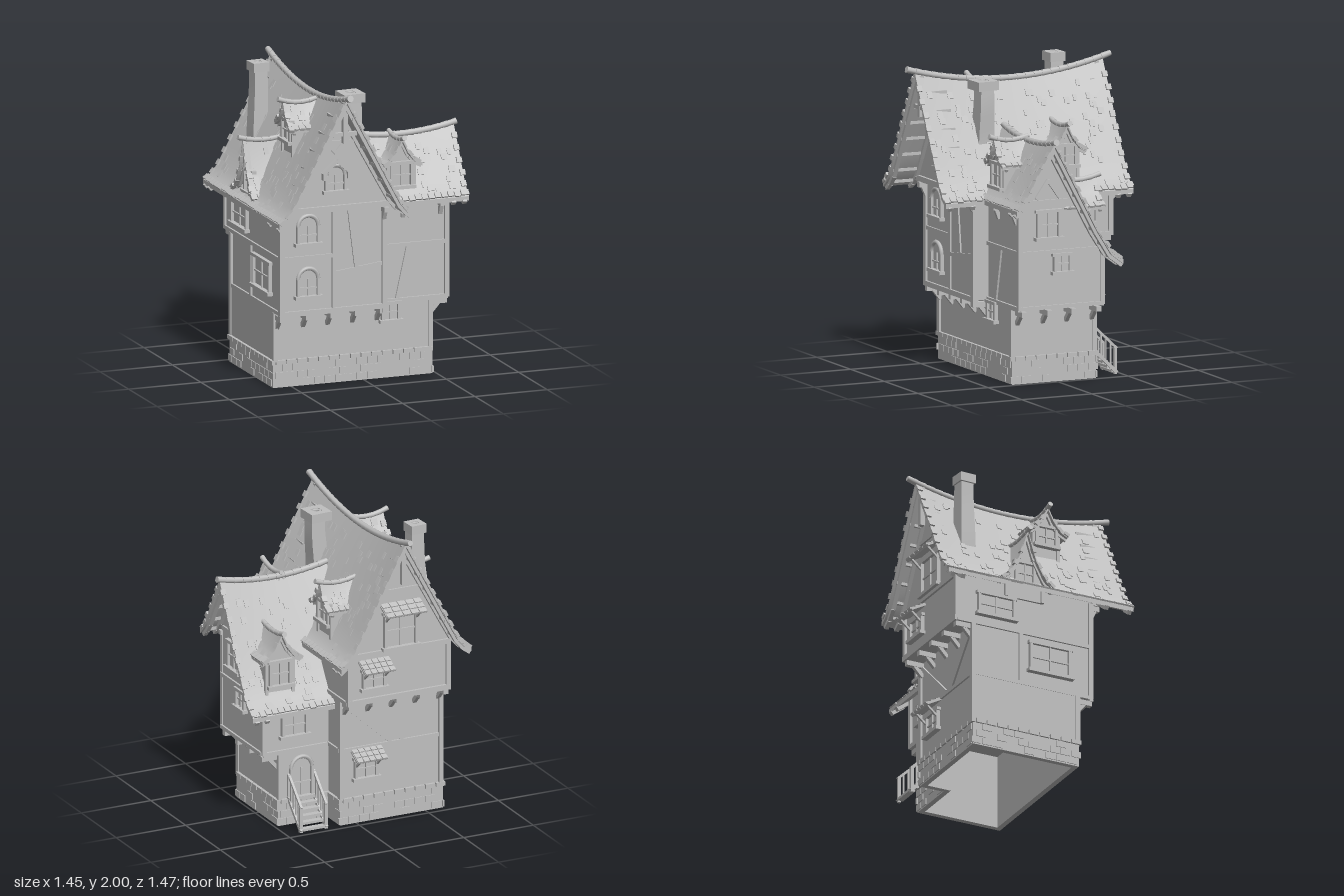
import * as THREE from 'three';
import { mergeGeometries, toCreasedNormals } from 'three/addons/utils/BufferGeometryUtils.js';

const grey = new THREE.MeshStandardMaterial({ color: 0xc0c0c0 });
grey.name = 'plain grey';
const V = (x, y, z) => new THREE.Vector3(x, y, z);
let seed = 7;
const rnd = () => (seed = (seed * 16807) % 2147483647) / 2147483647;

function put(parent, name, geo) {
  const m = new THREE.Mesh(Array.isArray(geo) ? mergeGeometries(geo) : geo, grey);
  m.name = name;
  parent.add(m);
  return m;
}
function box(w, h, d, x, y, z, rx = 0, ry = 0, rz = 0) {
  return new THREE.BoxGeometry(w, h, d).rotateX(rx).rotateY(ry).rotateZ(rz).translate(x, y, z);
}
// box given by its limits
const span = (x0, x1, y0, y1, z0, z1) => box(x1 - x0, y1 - y0, z1 - z0, (x0 + x1) / 2, (y0 + y1) / 2, (z0 + z1) / 2);
// square timber from a to b
function beam(a, b, t = 0.025) {
  const up = Math.abs(a.y - b.y) > 0.9 * a.distanceTo(b) ? V(0, 0, 1) : V(0, 1, 0);
  const g = new THREE.BoxGeometry(t, t, a.distanceTo(b)).applyMatrix4(new THREE.Matrix4().lookAt(a, b, up));
  return g.translate((a.x + b.x) / 2, (a.y + b.y) / 2, (a.z + b.z) / 2);
}

// Roof height at distance d from the ridge (signed) and z along it
function height(s, d, z) {
  const p = d >= 0 ? s.r : s.l, a = Math.abs(d), W = p[p.length - 1][0];
  let i = 1;
  while (i < p.length - 1 && p[i][0] < a) i++;
  const [d0, y0] = p[i - 1], [d1, y1] = p[i];
  const t = (2 * z - s.z0 - s.z1) / (s.z1 - s.z0);
  return y0 + (y1 - y0) * (a - d0) / (d1 - d0) + s.sag * (t * t - 1) * Math.max(0, 1 - a / W);
}
const slope = (s, d, z) => Math.atan2(height(s, d + 0.01, z) - height(s, d - 0.01, z), 0.02);

// Sagging roof along local z, with loose shingles, ragged edges, ridge tiles and verge timbers
function roof(parent, name, s) {
  const g = new THREE.Group();
  g.name = name;
  s.l ??= s.r; s.th ??= 0.03;
  const top = [...s.l.slice(1).reverse().map(([d, y]) => [-d, y]), ...s.r];
  const pts = [...top, ...top.slice().reverse().map(([d, y]) => [d, y - s.th])].map(p => new THREE.Vector2(...p));
  const len = s.z1 - s.z0;
  const geo = new THREE.ExtrudeGeometry(new THREE.Shape(pts), { depth: len, steps: 14, bevelEnabled: false }).translate(0, 0, s.z0);
  const P = geo.attributes.position;
  for (let i = 0; i < P.count; i++) {
    const d = P.getX(i), z = P.getZ(i), flat = { ...s, sag: 0 };
    P.setY(i, P.getY(i) + height(s, d, z) - height(flat, d, z));
  }
  put(g, 'roofSurface', toCreasedNormals(geo, 0.6));

  const R = s.r[s.r.length - 1][0], L = s.l[s.l.length - 1][0], tiles = [], ends = s.back ? [s.z0, s.z1] : [s.z1];
  const tile = (d, z, w, h, l) => tiles.push(box(w, h, l, d, height(s, d, z), z, 0, 0, slope(s, d, z)));
  for (let i = 0; i < s.tiles; i++) {
    const d = (rnd() < R / (R + L) ? R : -L) * (0.12 + 0.8 * rnd()), z = s.z0 + len * (0.04 + 0.92 * rnd());
    tile(d, z, 0.045, 0.01, 0.025 + 0.02 * rnd());
  }
  for (const z of ends) for (let d = -L + 0.02; d < R; d += 0.042)
    if (Math.abs(d) > 0.02) tile(d, z - Math.sign(z - s.z0 - len / 2) * 0.012 * (0.4 + rnd()), 0.038, 0.022, 0.036);
  for (const e of [-L, R]) for (let z = s.z0 + 0.02; z < s.z1; z += 0.045)
    tile(e * (1 - 0.02 * rnd()) - Math.sign(e) * 0.015, z, 0.04, 0.022, 0.04);
  put(g, 'shingles', tiles);

  // ridge tiles
  const caps = [], a = s.z0 - (s.back ? 0.055 : 0), b = s.z1 + (s.over ?? 0.03), n = Math.round((b - a) / 0.06);
  for (let i = 0; i < n; i++) {
    const z0 = a + (b - a) * i / n, z1 = a + (b - a) * (i + 1) / n, rr = s.cap ?? 0.022;
    const c = new THREE.CylinderGeometry(rr, rr * 0.85, z1 - z0 + 0.008, 8).rotateX(Math.PI / 2);
    c.rotateX(-Math.atan2(height(s, 0, z1) - height(s, 0, z0), z1 - z0));
    caps.push(c.translate(0, height(s, 0, (z0 + z1) / 2), (z0 + z1) / 2));
  }
  put(g, 'ridgeTiles', caps);

  // barge boards and the purlin stubs behind them
  const wood = [], t = s.wood ?? 0.028;
  for (const z of ends) {
    const dir = Math.sign(z - s.z0 - len / 2), zb = z - dir * 0.03;
    const wall = dir > 0 ? s.face : s.backFace;
    for (const [list, sg] of [[s.r, 1], [s.l, -1]]) {
      for (let i = 1; i < list.length; i++) {
        const at = (k, zz) => V(sg * list[k][0], height(s, sg * list[k][0], zz) - s.th - t * 0.4, zz);
        wood.push(beam(at(i - 1, zb), at(i, zb), t));
        if (s.back || s.ladder) wood.push(beam(at(i - 1, wall + dir * 0.01), at(i, wall + dir * 0.01), t));
      }
      const W = list[list.length - 1][0];
      for (let d = 0.05; d < W - 0.02; d += s.back || s.ladder ? 0.06 : 0.1) {
        const y = height(s, sg * d, zb) - s.th - 0.008;
        wood.push(beam(V(sg * d, y, wall), V(sg * d, y, z - dir * 0.015), t * 0.7));
      }
    }
  }
  put(g, 'vergeTimbers', wood);
  parent.add(g);
  return g;
}
// Thin wall that fills the roof profile at z
function gableWall(parent, s, z, left, right, base) {
  const sh = new THREE.Shape();
  sh.moveTo(-left, base);
  for (let i = 0; i <= 16; i++) {
    const d = -left + (left + right) * i / 16;
    sh.lineTo(d, Math.max(base + 0.001, height(s, d, z) - s.th + 0.004));
  }
  sh.lineTo(right, base);
  put(parent, 'gableWall', new THREE.ExtrudeGeometry(sh, { depth: 0.04, bevelEnabled: false }).translate(0, 0, z - 0.02));
}

// Window facing local +z, optionally arched or with a tiled awning
function windowUnit(parent, x, y, z, ry, w, h, { arch, awning, hood } = {}) {
  const g = new THREE.Group(), t = 0.02, a = w / 2, b = h / 2;
  g.name = 'window';
  const f = [span(-a, a, -b, b, -0.01, 0.004), box(w + 0.05, 0.022, 0.05, 0, -b, 0.012),
    box(t, h, 0.03, -a, 0, 0.008), box(t, h, 0.03, a, 0, 0.008),
    box(0.01, h, 0.016, 0, 0, 0.006), box(w, 0.01, 0.016, 0, 0, 0.006)];
  if (arch) {
    f.push(new THREE.TorusGeometry(a, 0.014, 6, 12, Math.PI).translate(0, b, 0.01));
    f.push(new THREE.CircleGeometry(a, 16).translate(0, b, 0.004));
  } else f.push(box(w + 0.04, t, 0.034, 0, b, 0.008));
  if (hood) for (const s of [-1, 1])
    f.push(beam(V(0, b + a + 0.035, 0.03), V(s * (a + 0.03), b + 0.015, 0.03), 0.022), box(0.02, 0.05, 0.04, s * (a + 0.02), b, 0.02));
  if (awning) {
    f.push(box(w + 0.07, 0.012, 0.12, 0, b + 0.035, 0.05, 0.5));
    for (let i = 0; i < 3; i++) for (let k = -2; k <= 2; k++)
      f.push(box((w + 0.05) / 5.4, 0.012, 0.04, k * (w + 0.07) / 5, b + 0.06 - i * 0.02, 0.02 + i * 0.037, 0.35));
    for (const s of [-1, 1]) f.push(beam(V(s * a, b - 0.06, 0.005), V(s * a, b + 0.015, 0.09), 0.013));
  }
  put(g, 'windowFrame', f);
  g.position.set(x, y, z);
  g.rotation.y = ry;
  parent.add(g);
}

function dormer(parent, name, [x, z, ry], o) {
  const { W, top, h, z0, z1, face, half, base, win } = o;
  const s = { r: [[0, top], [W * 0.3, top - h * 0.5], [W * 0.65, top - h * 0.84], [W, top - h]], z0, z1, sag: 0.02, tiles: 14, face, cap: 0.018, wood: 0.018, th: 0.02 };
  const g = roof(parent, name, s);
  gableWall(g, s, face - 0.02, half, half, base);
  put(g, 'dormerCheeks', span(-half, half, base, height(s, half, face) - 0.018, z0, face - 0.005));
  put(g, 'dormerPosts', [-1, 1].map(k => beam(V(k * half, base, face), V(k * half, height(s, half, face) - 0.015, face), 0.022)));
  if (win) windowUnit(g, 0, win[0], face, 0, win[1], win[2]);
  g.position.set(x, 0, z);
  g.rotation.y = ry;
}

// L-shaped footprint grown outward by o, as [x, z]
const plan = o => [[-0.62 - o, 0.31 + o], [0.47 + o, 0.31 + o], [0.47 + o, -0.275 - o], [0.11 + o, -0.275 - o], [0.11 + o, -0.445 - o], [-0.62 - o, -0.445 - o]];
function ring(o, y0, y1) {
  const v = q => plan(q).map(([x, z]) => new THREE.Vector2(x, -z));
  const s = new THREE.Shape(v(o));
  s.holes.push(new THREE.Path(v(-0.03)));
  return new THREE.ExtrudeGeometry(s, { depth: y1 - y0, bevelEnabled: false }).rotateX(-Math.PI / 2).translate(0, y0, 0);
}

function chimney(parent, x, z, half, capHalf, y0, y1, lean) {
  const g = new THREE.Group(), k = Math.SQRT2;
  g.name = 'chimney';
  const shaft = new THREE.CylinderGeometry(half * k, half * k * 1.25, y1 - y0 - 0.05, 4, 5).rotateY(Math.PI / 4);
  const P = shaft.attributes.position;
  for (let i = 0; i < P.count; i++) P.setX(i, P.getX(i) + lean * Math.sin(P.getY(i) * 9));
  put(g, 'chimneyShaft', toCreasedNormals(shaft.translate(0, (y0 + y1) / 2 - 0.025, 0), 0.4));
  const sq = q => [[-q, -q], [q, -q], [q, q], [-q, q]].map(p => new THREE.Vector2(...p));
  const cap = new THREE.Shape(sq(capHalf));
  cap.holes.push(new THREE.Path(sq(capHalf * 0.4)));
  put(g, 'chimneyCap', new THREE.ExtrudeGeometry(cap, { depth: 0.06, bevelEnabled: false }).rotateX(-Math.PI / 2).translate(0, y1 - 0.06, 0));
  put(g, 'chimneyPot', new THREE.TorusGeometry(capHalf * 0.35, 0.01, 6, 10).rotateX(Math.PI / 2).translate(0, y1 - 0.01, 0));
  g.position.set(x, 0, z);
  g.rotation.y = 0.06;
  parent.add(g);
}

export function createModel() {
  const house = new THREE.Group(), H = Math.PI / 2;
  house.name = 'house';

  // Stone base with scattered blocks and a coping course
  put(house, 'stoneBase', ring(0.006, 0, 0.17));
  put(house, 'groundFloor', ring(0, 0.17, 0.52));
  const stones = [], L = plan(0.006);
  L.forEach(([x0, z0], i) => {
    const [x1, z1] = L[(i + 1) % 6], len = Math.hypot(x1 - x0, z1 - z0), n = Math.max(2, Math.round(len / 0.075));
    for (let k = 0; k < n; k++) for (let row = 0; row < 4; row++) {
      if (row < 3 && rnd() < 0.45) continue;
      const t = Math.min(0.97, (k + 0.5 + (row % 2 ? 0.2 : -0.2)) / n), top = row === 3;
      stones.push(box(len / n - 0.008, top ? 0.028 : 0.042, top ? 0.026 : 0.012, x0 + (x1 - x0) * t, top ? 0.167 : 0.03 + row * 0.05, z0 + (z1 - z0) * t, 0, Math.atan2(z0 - z1, x1 - x0)));
    }
  });
  put(house, 'stoneBlocks', stones);

  // Upper storeys
  put(house, 'mainWalls', [span(-0.61, 0.11, 0.5, 1.19, -0.445, 0.41), span(-0.61, 0.11, 0.86, 1.19, -0.56, -0.44)]);
  put(house, 'wingWalls', [span(0.05, 0.58, 0.5, 0.85, -0.275, 0.31), span(0.05, 0.58, 0.85, 1.17, -0.06, 0.31)]);

  // Main roof and gables
  const main = { r: [[0, 1.96], [0.1, 1.77], [0.2, 1.58], [0.3, 1.39], [0.37, 1.26], [0.42, 1.2], [0.468, 1.165]], z0: -0.675, z1: 0.665, sag: 0.09, tiles: 170, face: 0.46, backFace: -0.56, back: true, over: 0.055 };
  const mg = roof(house, 'mainRoof', main);
  mg.position.x = -0.25;
  gableWall(mg, main, 0.44, 0.37, 0.37, 1.17);
  gableWall(mg, main, -0.54, 0.36, 0.36, 1.17);

  // Wing roof with its long rear slope
  const wing = { r: [[0, 1.6], [0.1, 1.41], [0.2, 1.22], [0.3, 1.03], [0.4, 0.87], [0.485, 0.805]], l: [[0, 1.6], [0.1, 1.43], [0.19, 1.27], [0.235, 1.21], [0.275, 1.17]], z0: -0.07, z1: 0.7, sag: 0.045, tiles: 70, face: 0.585, ladder: true, over: 0.015 };
  const wg = roof(house, 'wingRoof', wing);
  wg.position.z = 0.115;
  wg.rotation.y = H;
  gableWall(wg, wing, 0.565, 0.195, 0.39, 0.5);

  // Dormers
  dormer(house, 'wingFrontDormer', [0.26, 0, 0], { W: 0.135, top: 1.58, h: 0.17, z0: 0.1, z1: 0.345, face: 0.31, half: 0.088, base: 1.2, win: [1.335, 0.14, 0.16] });
  dormer(house, 'wingBackDormer', [0.45, 0, Math.PI], { W: 0.14, top: 1.32, h: 0.18, z0: 0, z1: 0.29, face: 0.25, half: 0.095, base: 0.88, win: [1.04, 0.14, 0.17] });
  dormer(house, 'mainRightDormer', [0, -0.235, H], { W: 0.135, top: 1.61, h: 0.17, z0: -0.1, z1: 0.155, face: 0.115, half: 0.088, base: 1.22, win: [1.4, 0.14, 0.14] });
  dormer(house, 'mainLeftHighDormer', [0, 0.16, -H], { W: 0.14, top: 1.86, h: 0.17, z0: 0.26, z1: 0.5, face: 0.46, half: 0.088, base: 1.5, win: [1.66, 0.14, 0.14] });
  dormer(house, 'mainLeftWallDormer', [0, -0.08, -H], { W: 0.19, top: 1.57, h: 0.37, z0: 0.38, z1: 0.68, face: 0.625, half: 0.13, base: 1.1, win: [1.28, 0.13, 0.15] });

  chimney(house, -0.07, 0.26, 0.047, 0.074, 1.4, 1.9, 0.012);
  chimney(house, -0.44, -0.42, 0.044, 0.055, 1.4, 1.98, 0.004);

  // Wall timbers: [x, y, x, y] on walls facing front or back
  const wood = [];
  const flat = (z, list) => list.forEach(([a, b, c, d, t]) => wood.push(beam(V(a, b, z), V(c, d, z), t)));
  flat(0.408, [[-0.605, 0.5, -0.605, 1.18, 0.034], [0.105, 0.46, 0.105, 1.18, 0.036], [-0.245, 0.5, -0.245, 1.18], [-0.62, 0.505, 0.12, 0.505, 0.034], [-0.6, 0.87, -0.245, 0.87],
    [-0.14, 1.18, -0.09, 0.78], [-0.24, 0.75, 0.1, 0.79]]);
  flat(0.46, [[-0.63, 1.195, 0.13, 1.195, 0.036], [-0.39, 1.63, -0.11, 1.63], [-0.25, 1.56, -0.34, 1.66], [-0.25, 1.56, -0.16, 1.66]]);
  flat(0.62, [[-0.25, 1.66, -0.25, 1.93, 0.032], [-0.33, 1.72, -0.17, 1.72]]);
  flat(0.31, [[0.11, 0.87, 0.58, 0.87], [0.31, 0.87, 0.23, 0.51], [0.1, 0.505, 0.58, 0.505, 0.03], [0.575, 0.5, 0.575, 1.16, 0.032], [0.11, 1.155, 0.6, 1.155, 0.03], [-0.61, 0.17, -0.61, 0.5, 0.032], [0.462, 0.17, 0.462, 0.5, 0.03]]);
  flat(-0.275, [[0.462, 0.17, 0.462, 0.5, 0.03], [0.575, 0.5, 0.575, 0.85, 0.032], [0.11, 0.505, 0.58, 0.505, 0.03]]);
  flat(-0.445, [[-0.61, 0.17, -0.61, 0.86, 0.032], [0.105, 0.17, 0.105, 0.86, 0.032], [-0.62, 0.51, 0.11, 0.51], [-0.6, 0.83, -0.32, 0.52], [-0.25, 0.52, 0.09, 0.83]]);
  flat(-0.56, [[-0.62, 0.875, 0.12, 0.875, 0.036], [-0.605, 0.87, -0.605, 1.18, 0.032], [0.105, 0.87, 0.105, 1.18, 0.032], [-0.62, 1.19, 0.12, 1.19, 0.032], [-0.39, 1.6, -0.11, 1.6]]);
  flat(-0.63, [[-0.25, 1.66, -0.25, 1.93, 0.032]]);
  // side walls: [x, z, y, z, y]
  for (const [x, a, b, c, d] of [[0.585, 0.31, 0.87, -0.27, 0.87], [0.585, 0.31, 0.51, -0.27, 0.51], [0.585, 0.28, 1.2, -0.03, 1.2], [0.585, 0.2, 1.22, 0.115, 1.34], [0.585, 0.03, 1.22, 0.115, 1.34],
    [-0.61, -0.44, 0.51, 0.41, 0.51], [-0.61, -0.56, 0.87, 0.41, 0.87], [-0.61, -0.1, 0.51, -0.1, 0.87], [0.11, -0.28, 0.51, -0.44, 0.51], [0.11, -0.28, 0.87, -0.56, 0.87]])
    wood.push(beam(V(x, b, a), V(x, d, c)));
  put(house, 'wallTimbers', wood);

  // Brackets under the overhangs
  const br = [];
  const bracket = (a, b, y) => br.push(beam(V(a[0], y, a[1]), V(b[0], y, b[1]), 0.034), beam(V(a[0], y - 0.075, a[1]), V((a[0] + b[0]) / 2, y - 0.01, (a[1] + b[1]) / 2), 0.026));
  for (const x of [-0.6, -0.42, -0.25, -0.08, 0.09]) bracket([x, 0.31], [x, 0.415], 0.47);
  for (const z of [0.28, 0.1, -0.07, -0.25]) bracket([0.47, z], [0.585, z], 0.47);
  for (const x of [-0.59, -0.42, -0.25, -0.08, 0.09]) bracket([x, -0.445], [x, -0.565], 0.84);
  for (const x of [-0.6, 0.1]) bracket([x, 0.41], [x, 0.47], 1.15);
  for (const x of [0.27, 0.53]) bracket([x, 0.31], [x, 0.36], 1.13);
  put(house, 'brackets', br);

  // Windows: x, y, z, turn, width, height
  windowUnit(house, -0.425, 1.02, 0.412, 0, 0.14, 0.12, { arch: true });
  windowUnit(house, -0.425, 0.67, 0.412, 0, 0.14, 0.12, { arch: true });
  windowUnit(house, -0.255, 1.36, 0.462, 0, 0.13, 0.11, { arch: true, hood: true });
  windowUnit(house, 0.185, 0.435, 0.312, 0, 0.11, 0.12);
  windowUnit(house, 0.587, 1.05, 0.115, H, 0.15, 0.18);
  windowUnit(house, 0.587, 0.79, 0.015, H, 0.11, 0.12);
  windowUnit(house, -0.26, 1.33, -0.562, Math.PI, 0.22, 0.24, { awning: true });
  windowUnit(house, -0.07, 1.02, -0.562, Math.PI, 0.15, 0.13, { awning: true });
  windowUnit(house, -0.07, 0.37, -0.447, Math.PI, 0.15, 0.14, { awning: true });
  windowUnit(house, 0.36, 0.68, -0.277, Math.PI, 0.17, 0.15);
  windowUnit(house, -0.612, 0.71, 0.11, -H, 0.28, 0.2);
  windowUnit(house, -0.612, 1.01, -0.28, -H, 0.25, 0.15);

  // Rear door with steps and railings
  windowUnit(house, 0.31, 0.28, -0.277, Math.PI, 0.15, 0.2, { arch: true });
  const st = [], steps = 6;
  for (let i = 0; i < steps; i++) st.push(box(0.17, 0.016, 0.04, 0.31, 0.18 - i * 0.032, -0.295 - i * 0.031));
  for (const x of [0.22, 0.4]) {
    st.push(beam(V(x, 0.19, -0.28), V(x, 0.012, -0.465), 0.022), beam(V(x, 0.345, -0.28), V(x, 0.17, -0.465), 0.016));
    for (let i = 0; i < 6; i++) {
      const z = -0.285 - i * 0.034, y = 0.19 - i * 0.0335;
      st.push(beam(V(x, Math.max(0, y - 0.02), z), V(x, y + 0.155, z), i % 5 ? 0.01 : 0.02));
    }
  }
  put(house, 'rearStairs', st);
  return house;
}
